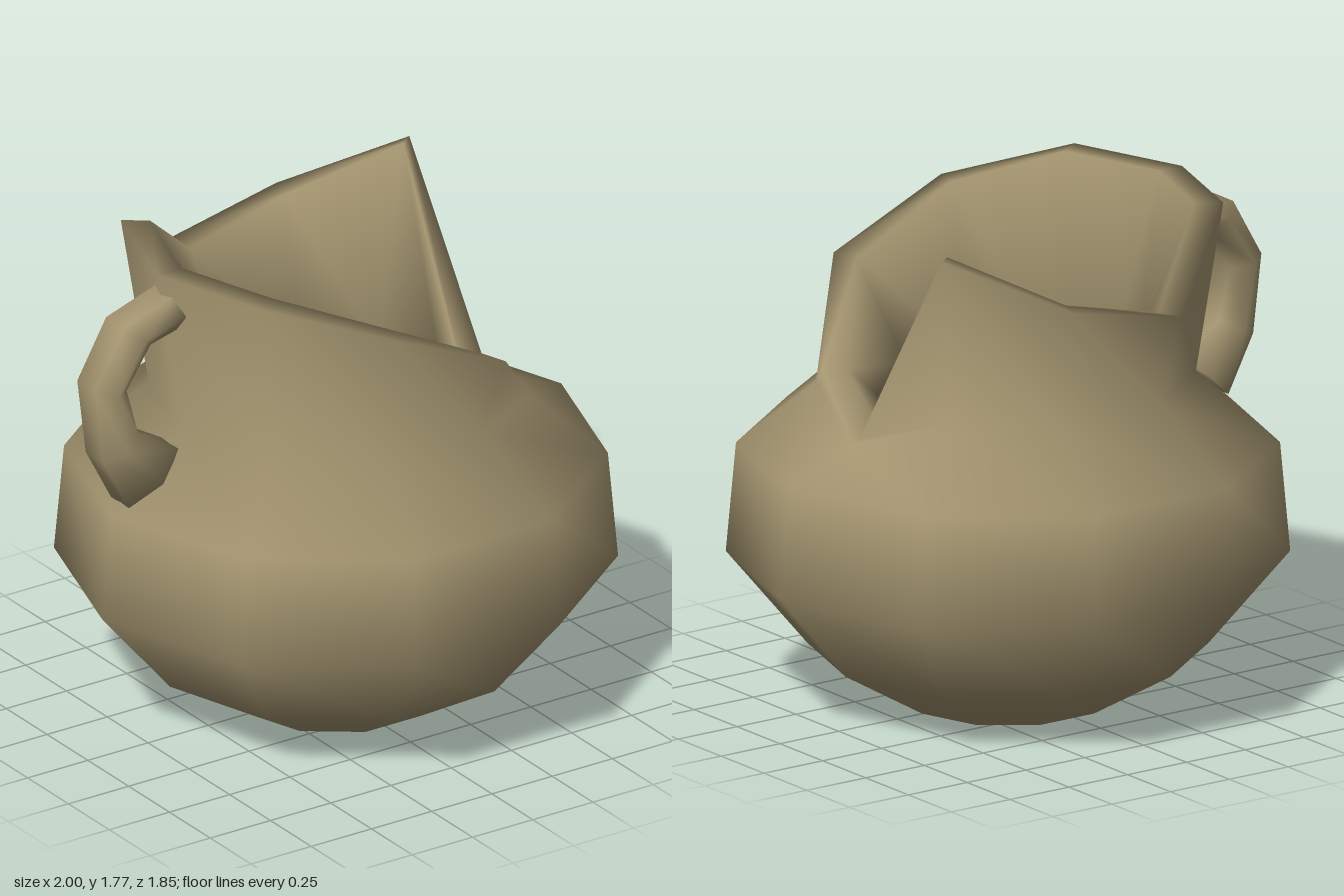
import * as THREE from 'three';

const SIDES = 10;
const CENTER_X = 0.03;

// Closed skin from stacked rings of points, with a fan at each end
function skin(rings, first, last) {
  const n = rings[0].length;
  const points = [...rings.flat(), first, last];
  const a = rings.length * n, b = a + 1;
  const index = [];
  for (let i = 0; i < n; i++) {
    const k = (i + 1) % n;
    index.push(a, i, k);
    for (let j = 0; j < rings.length - 1; j++) {
      const lo = j * n, up = lo + n;
      index.push(lo + i, up + k, lo + k, lo + i, up + i, up + k);
    }
    const top = (rings.length - 1) * n;
    index.push(b, top + k, top + i);
  }
  const geometry = new THREE.BufferGeometry().setFromPoints(points);
  geometry.setIndex(index);
  geometry.computeVertexNormals();
  return geometry;
}

// Ten-sided ring; radius and height may vary per corner
function ring(radius, height) {
  return Array.from({ length: SIDES }, (_, k) => {
    const t = (k / SIDES) * Math.PI * 2;
    const r = radius[k] ?? radius, y = height[k] ?? height;
    return new THREE.Vector3(CENTER_X + r * Math.cos(t), y, r * Math.sin(t));
  });
}

// Same value all round, except at the listed corners
function vary(value, changes) {
  return Array.from({ length: SIDES }, (_, k) => changes[k] ?? value);
}

function makeVessel() {
  const rimHeight = [1.035, 1.17, 1.46, 1.66, 1.77, 1.77, 1.77, 1.49, 1.585, 1.77];
  const rings = [
    // outside, from the foot to the broken rim
    ring(0.365, 0),
    ring(0.69, 0.19),
    ring(0.97, 0.52),
    ring(0.935, 0.91),
    ring(vary(0.645, { 0: 0.66, 1: 0.66 }), vary(1.16, { 0: 1.02, 1: 1.13 })),
    ring(vary(0.74, { 0: 0.63, 1: 0.64 }), rimHeight),
    // inside, from the rim down to the floor
    ring(vary(0.64, { 0: 0.53, 1: 0.55, 9: 0.68 }), rimHeight),
    ring(vary(0.435, { 0: 0.45, 1: 0.45 }), vary(1.12, { 0: 1.0, 1: 1.08 })),
    ring(0.82, 0.86),
    ring(0.86, 0.55),
    ring(0.62, 0.28),
    ring(0.32, 0.12),
  ];
  return skin(rings, new THREE.Vector3(CENTER_X, 0, 0), new THREE.Vector3(CENTER_X, 0.12, 0));
}

function makeHandle() {
  // outer and inner edge of the bent grip at each joint: [x, y, x, y]
  const joints = [
    [-0.86, 0.94, -0.65, 1.11],
    [-0.965, 1.14, -0.82, 1.21],
    [-1.0, 1.42, -0.87, 1.39],
    [-0.88, 1.63, -0.77, 1.54],
    [-0.67, 1.70, -0.65, 1.57],
  ];
  const middle = ([ox, oy, ix, iy]) => new THREE.Vector3((ox + ix) / 2, (oy + iy) / 2, -0.01);
  const rings = joints.map((joint) => {
    const c = middle(joint);
    const half = new THREE.Vector3(joint[0] - c.x, joint[1] - c.y, 0);
    // six-sided section, wider than it is thick
    return Array.from({ length: 6 }, (_, k) => {
      const t = (k / 6) * Math.PI * 2;
      const p = c.clone().addScaledVector(half, Math.sin(t) / Math.sin(Math.PI / 3));
      p.z += 0.11 * Math.cos(t);
      return p;
    });
  });
  return skin(rings, middle(joints[0]), middle(joints[joints.length - 1]));
}

export function createModel() {
  const clay = new THREE.MeshStandardMaterial({ color: 0xa3946f });
  clay.name = 'clay';

  const model = new THREE.Group();
  model.name = 'brokenJug';

  const vessel = new THREE.Mesh(makeVessel(), clay);
  vessel.name = 'vessel';
  const handle = new THREE.Mesh(makeHandle(), clay);
  handle.name = 'handle';

  model.add(vessel, handle);
  return model;
}
